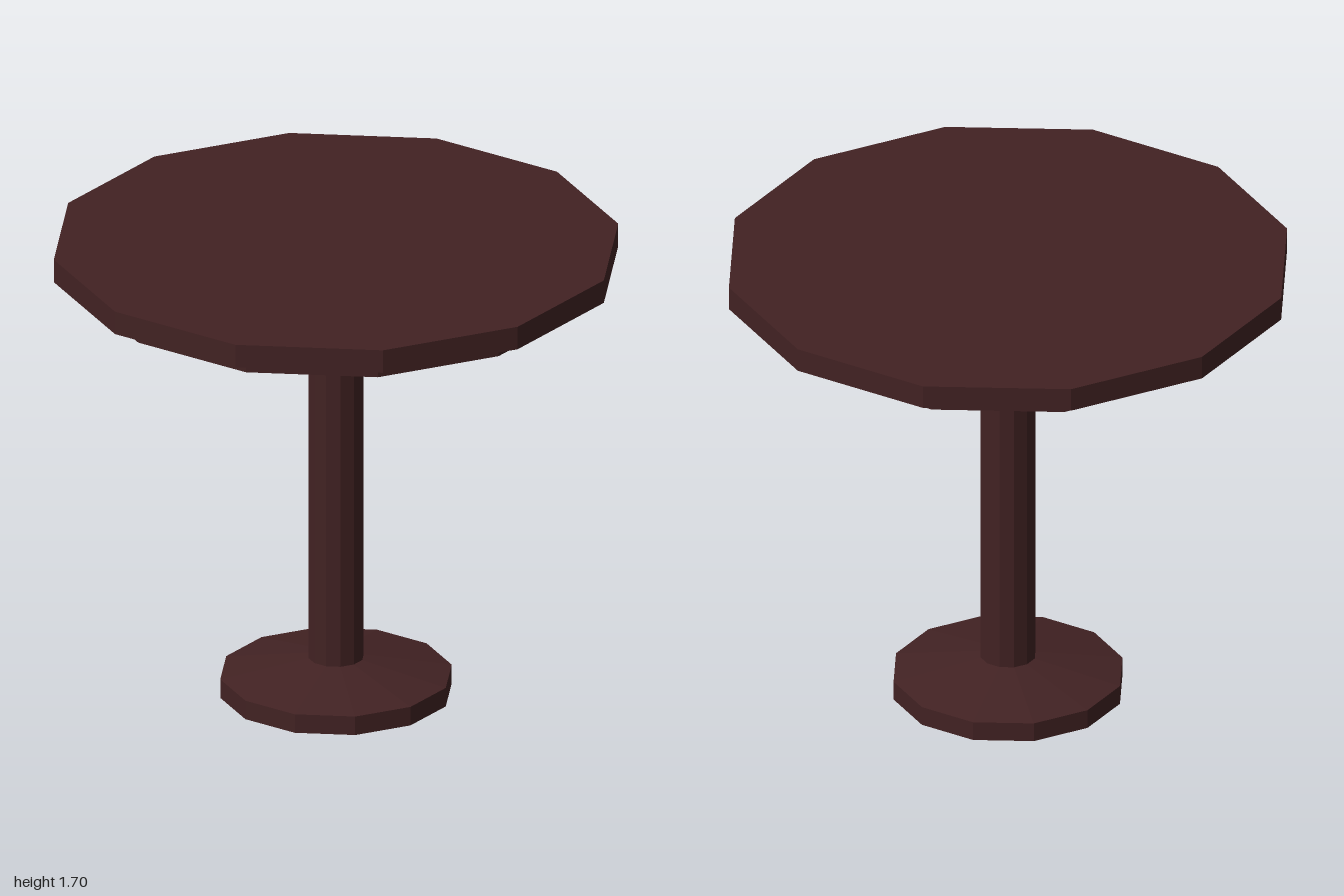
import * as THREE from 'three';

const SIDES = 12;

export function createModel() {
  const group = new THREE.Group();
  group.name = 'pedestalTable';

  const wood = new THREE.MeshStandardMaterial({ color: 0x422223, flatShading: true });
  wood.name = 'darkWood';

  // Turns a [radius, height] profile, listed bottom to top, into a faceted part
  const addTurned = (name, profile) => {
    const points = profile.map(([r, y]) => new THREE.Vector2(r, y));
    const mesh = new THREE.Mesh(new THREE.LatheGeometry(points, SIDES), wood);
    mesh.name = name;
    group.add(mesh);
  };

  // Foot: low disc with a sloped upper face meeting the column
  addTurned('base', [[0, 0], [0.41, 0], [0.41, 0.07], [0.098, 0.13]]);

  // Column between foot and top
  addTurned('column', [[0.098, 0.13], [0.098, 1.555]]);

  // Smaller plate under the table top
  addTurned('underPlate', [[0, 1.555], [0.895, 1.555], [0.895, 1.615]]);

  // Table top
  addTurned('tableTop', [[0, 1.615], [1, 1.615], [1, 1.7], [0, 1.7]]);

  return group;
}
